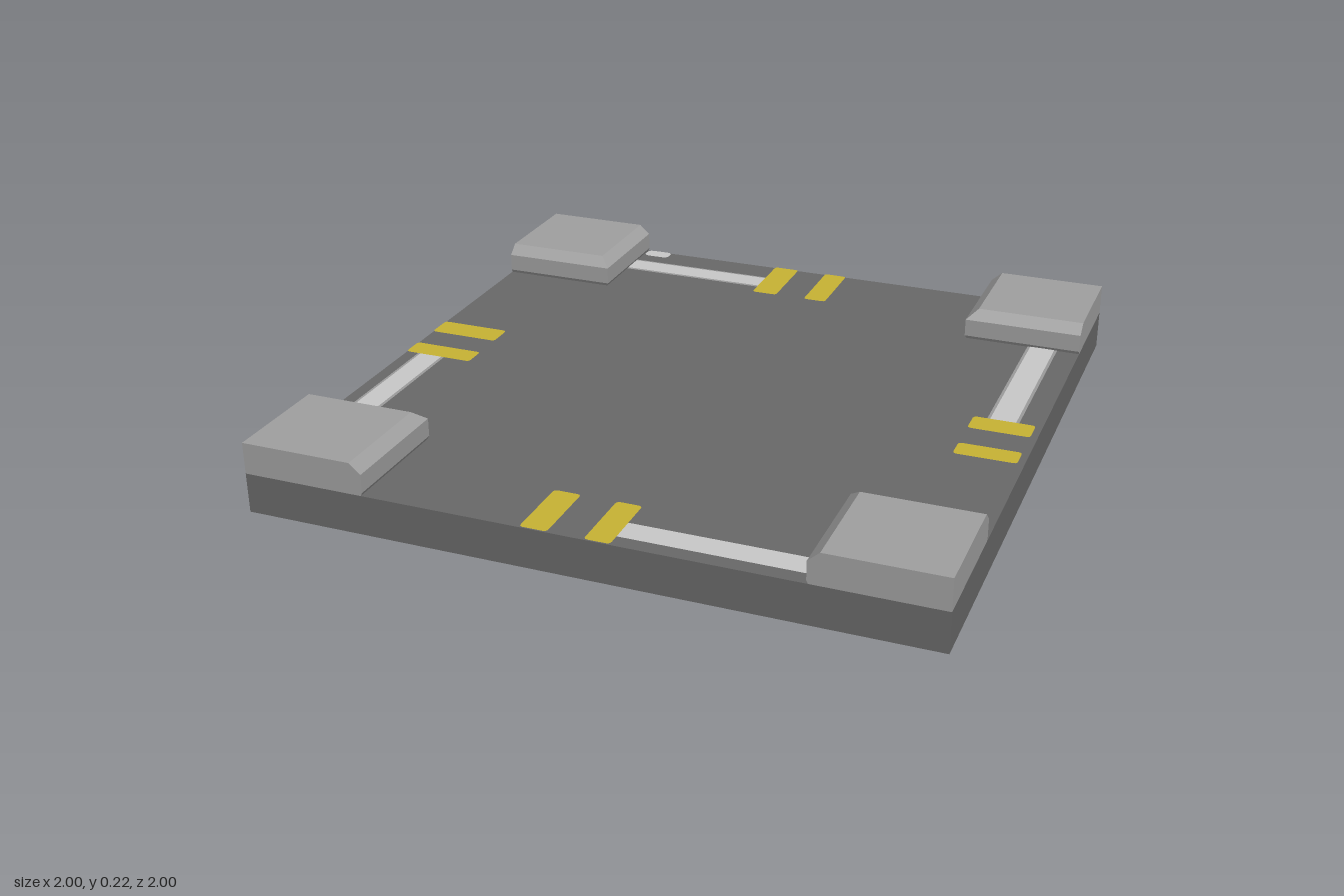
import * as THREE from 'three';

const mat = (name, color) => {
  const m = new THREE.MeshStandardMaterial({ color });
  m.name = name;
  return m;
};

export function createModel() {
  const asphalt = mat('asphalt', 0x696969);
  const concrete = mat('concrete', 0xa0a0a0);
  const white = mat('white paint', 0xcacaca);
  const worn = mat('worn paint', 0x9c9c9c);
  const yellow = mat('yellow paint', 0xc8b434);
  const group = new THREE.Group();
  const TOP = 0.12;

  const add = (name, geometry, material) => {
    const mesh = new THREE.Mesh(geometry, material);
    mesh.name = name;
    group.add(mesh);
    return mesh;
  };

  // Flat painted marking on the road, with slightly rounded corners
  const paint = (name, x0, x1, z0, z1, material, lift, r = 0) => {
    const s = new THREE.Shape();
    s.moveTo(x0 + r, -z1);
    s.lineTo(x1 - r, -z1);
    s.quadraticCurveTo(x1, -z1, x1, -z1 + r);
    s.lineTo(x1, -z0 - r);
    s.quadraticCurveTo(x1, -z0, x1 - r, -z0);
    s.lineTo(x0 + r, -z0);
    s.quadraticCurveTo(x0, -z0, x0, -z0 - r);
    s.lineTo(x0, -z1 + r);
    s.quadraticCurveTo(x0, -z1, x0 + r, -z1);
    add(name, new THREE.ShapeGeometry(s, 3).rotateX(-Math.PI / 2), material).position.y = TOP + lift;
  };

  // Upright face on the -x edge of the slab
  const edgeFace = (name, z0, z1, material) => {
    const g = new THREE.PlaneGeometry(z1 - z0, TOP).rotateY(-Math.PI / 2);
    add(name, g, material).position.set(-1.001, TOP / 2, (z0 + z1) / 2);
  };

  // Road slab
  add('roadSlab', new THREE.BoxGeometry(2, TOP, 2).translate(0, TOP / 2, 0), asphalt);

  // Kerb block: square rings, bevelled only on the two sides facing the road
  const rings = [[0.635, TOP], [0.63, 0.13], [0.63, 0.185], [0.664, 0.215]].map(([a, y]) =>
    [[a, y, 1], [1, y, 1], [1, y, a], [a, y, a]]);
  const pos = [];
  const quad = (a, b, c, d) => pos.push(...a, ...b, ...c, ...a, ...c, ...d);
  for (let k = 0; k < rings.length - 1; k++) {
    for (let i = 0; i < 4; i++) {
      const j = (i + 1) % 4;
      quad(rings[k][i], rings[k][j], rings[k + 1][j], rings[k + 1][i]);
    }
  }
  quad(...rings[rings.length - 1]);
  const kerb = new THREE.BufferGeometry();
  kerb.setAttribute('position', new THREE.Float32BufferAttribute(pos, 3));
  kerb.computeVertexNormals();
  for (let i = 0; i < 4; i++) add('cornerKerb', kerb, concrete).rotation.y = i * Math.PI / 2;

  // Stop lines: a worn strip under a narrower white strip
  const lines = [
    [0.09, 0.64, 0.87, 0.965],
    [-0.64, -0.14, -0.9, -0.808],
    [0.835, 0.93, -0.64, -0.06],
    [-0.96, -0.868, 0.1, 0.64],
  ];
  for (const [x0, x1, z0, z1] of lines) {
    const alongX = x1 - x0 > z1 - z0;
    const dx = alongX ? 0 : 0.009, dz = alongX ? 0.009 : 0;
    paint('stopLineEdge', x0, x1, z0, z1, worn, 0.001);
    paint('stopLine', x0 + dx, x1 - dx, z0 + dz, z1 - dz, white, 0.002);
  }
  paint('paintPatch', -0.63, -0.54, -1, -0.95, white, 0.002, 0.02);

  // Yellow centre stripes, a pair on each road
  const stripes = [
    [-0.16, -0.08, 0.785, 1], [0.025, 0.1, 0.785, 1],
    [-0.145, -0.06, -1, -0.757], [0.04, 0.115, -1, -0.757],
    [0.795, 0.98, -0.07, 0.01], [0.795, 0.98, 0.113, 0.185],
    [-1, -0.777, -0.147, -0.06], [-1, -0.777, 0.037, 0.112],
  ];
  for (const s of stripes) paint('centreStripe', ...s, yellow, 0.003, 0.012);

  // Kerb and stripe colours carried down the -x edge
  edgeFace('kerbEdge', -1, -0.63, concrete);
  edgeFace('kerbEdge', 0.63, 1, concrete);
  edgeFace('stripeEdge', -0.145, -0.062, yellow);
  edgeFace('stripeEdge', 0.038, 0.112, yellow);

  return group;
}
